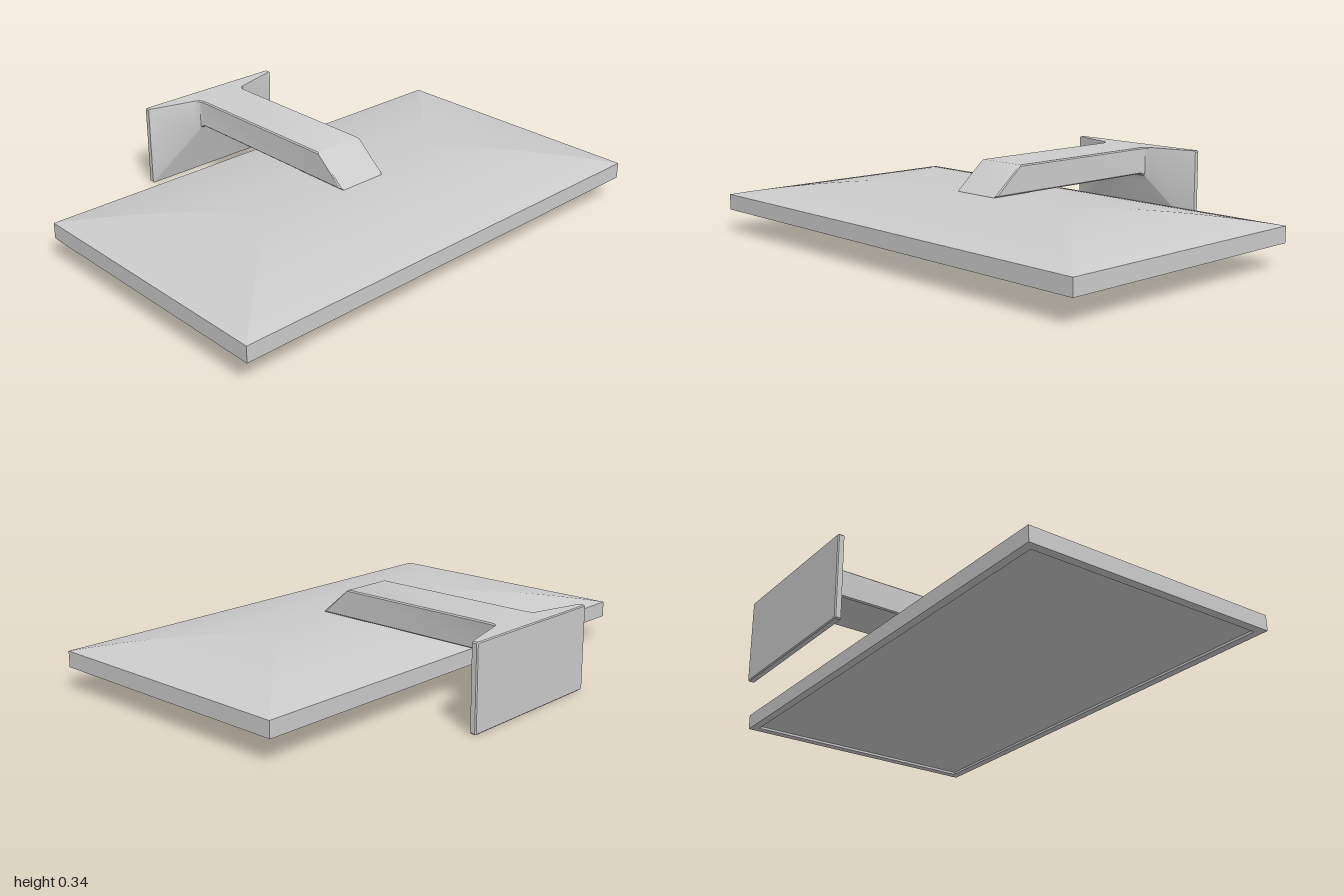
import * as THREE from 'three';
import { toCreasedNormals } from 'three/addons/utils/BufferGeometryUtils.js';

const grey = new THREE.MeshStandardMaterial({ color: 0xcccccc });
const HALF_W = 1, HALF_D = 0.565, MID_Z = 0.165; // panel footprint
const BASE_Y = 0.095, RIM_Y = 0.16, DOME = 0.065;

function part(name, geometry, parent) {
  const mesh = new THREE.Mesh(geometry, grey);
  mesh.name = name;
  parent.add(mesh);
  return mesh;
}

function rectPoints(w, d) {
  return [[-w, -d], [w, -d], [w, d], [-w, d]].map(([x, y]) => new THREE.Vector2(x, y));
}

// One hipped side of the domed back: rises along a parabola as it moves inward
function domeSide(halfLength, halfOther, angle) {
  const g = new THREE.PlaneGeometry(2, 1, 1, 16);
  const p = g.attributes.position;
  for (let i = 0; i < p.count; i++) {
    const side = p.getX(i);
    const k = p.getY(i) + 0.5; // 0 at the rim, 1 at the ridge
    const inset = k * HALF_D;
    p.setXYZ(i, side * (halfLength - inset), RIM_Y + DOME * (1 - (1 - k) ** 2), halfOther - inset);
  }
  g.computeVertexNormals();
  return g.rotateY(angle).translate(0, 0, MID_Z);
}

// Skin a row of bevelled rectangular sections; each is [zTop, zBottom, halfWidth, bottom, top]
function loftSections(sections, bevel) {
  const verts = [], index = [], n = 8;
  for (const [zt, zb, w, b, t] of sections) {
    const ring = [[w, b + bevel], [w, t - bevel], [w - bevel, t], [bevel - w, t],
      [-w, t - bevel], [-w, b + bevel], [bevel - w, b], [w - bevel, b]];
    for (const [x, y] of ring) verts.push(x, y, zb + (zt - zb) * (y - b) / (t - b));
  }
  for (let s = 0; s < sections.length - 1; s++) {
    for (let i = 0; i < n; i++) {
      const a = s * n + i, b = s * n + (i + 1) % n;
      index.push(a, b, b + n, a, b + n, a + n);
    }
  }
  const last = (sections.length - 1) * n;
  for (let i = 1; i < n - 1; i++) {
    index.push(0, i + 1, i, last, last + i, last + i + 1);
  }
  const g = new THREE.BufferGeometry();
  g.setAttribute('position', new THREE.Float32BufferAttribute(verts, 3));
  g.setIndex(index);
  return toCreasedNormals(g, 0.5);
}

export function createModel() {
  const model = new THREE.Group();
  model.name = 'monitor';

  const panel = new THREE.Group();
  panel.name = 'panel';
  model.add(panel);

  // Bezel frame, open in the middle for the screen
  const bezel = new THREE.Shape(rectPoints(HALF_W, HALF_D));
  bezel.holes.push(new THREE.Path(rectPoints(HALF_W - 0.035, HALF_D - 0.035).reverse()));
  const frame = new THREE.ExtrudeGeometry(bezel, { depth: RIM_Y - BASE_Y, bevelEnabled: false });
  part('bezel', frame.rotateX(-Math.PI / 2).translate(0, BASE_Y, MID_Z), panel);

  // Slightly recessed screen, facing down
  const screen = new THREE.BoxGeometry(2 * HALF_W - 0.07, 0.05, 2 * HALF_D - 0.07);
  part('screen', screen.translate(0, BASE_Y + 0.035, MID_Z), panel);

  // Domed back cover made of four curved hips
  for (let i = 0; i < 4; i++) {
    const [along, out] = i % 2 ? [HALF_D, HALF_W] : [HALF_W, HALF_D];
    part('backCover', domeSide(along, out, i * Math.PI / 2), panel);
  }

  // Stand: foot plate flaring into the arm, which ends in a slanted face
  part('stand', loftSections([
    [-0.73, -0.73, 0.33, 0.004, 0.336],
    [-0.726, -0.726, 0.334, 0, 0.34],
    [-0.706, -0.706, 0.334, 0, 0.34],
    [-0.702, -0.702, 0.325, 0.008, 0.34],
    [-0.648, -0.648, 0.13, 0.195, 0.34],
    [-0.637, -0.637, 0.117, 0.217, 0.34],
    [-0.62, -0.62, 0.111, 0.226, 0.34],
    [0.095, 0.225, 0.111, 0.226, 0.34],
    [0.102, 0.235, 0.107, 0.226, 0.337],
  ], 0.005), model);

  return model;
}
